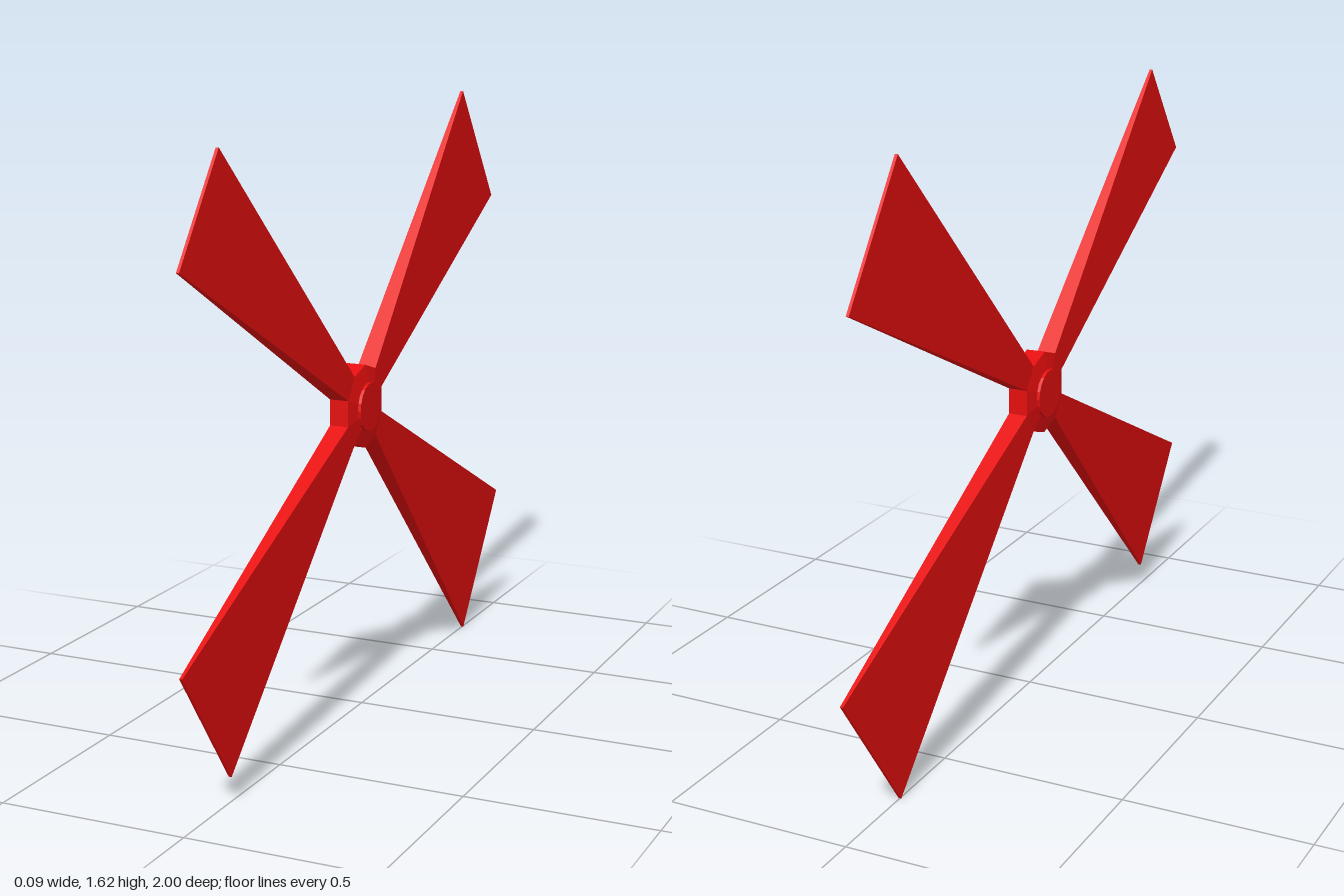
import * as THREE from 'three';

const CENTER = { y: 0.84, z: 0.035 };
const HUB_R = 0.112, ROOT_X = 0.026, TIP_X = 0.004;
const HALF_SIDE = Math.PI / 10; // half of one side of the ten-sided hub

const red = new THREE.MeshStandardMaterial({ color: 0xe60e0e, flatShading: true });

// A tapered blade growing out of one hub side; tip corners are [z, y],
// first on the smaller-angle edge, then on the larger (angles run from +z to +y).
function blade(name, angle, tipLow, tipHigh) {
  const geo = new THREE.BoxGeometry(1, 1, 1);
  const p = geo.attributes.position;
  for (let i = 0; i < p.count; i++) {
    const isTip = p.getY(i) > 0, isLow = p.getZ(i) > 0;
    const a = angle + (isLow ? -HALF_SIDE : HALF_SIDE);
    const [z, y] = isTip
      ? (isLow ? tipLow : tipHigh)
      : [CENTER.z + HUB_R * Math.cos(a), CENTER.y + HUB_R * Math.sin(a)];
    p.setXYZ(i, Math.sign(p.getX(i)) * (isTip ? TIP_X : ROOT_X), y, z);
  }
  geo.computeVertexNormals();
  const mesh = new THREE.Mesh(geo, red);
  mesh.name = name;
  return mesh;
}

export function createModel() {
  const group = new THREE.Group();
  group.name = 'propeller';

  // Ten-sided hub with sloping faces
  const profile = [[0, -0.035], [0.065, -0.035], [HUB_R, -ROOT_X],
    [HUB_R, ROOT_X], [0.065, 0.035], [0, 0.035]].map(([r, h]) => new THREE.Vector2(r, h));
  const hub = new THREE.Mesh(new THREE.LatheGeometry(profile, 10, Math.PI / 2), red);
  hub.name = 'hub';

  // Round cap standing proud on both sides of the hub
  const cap = new THREE.Mesh(new THREE.CylinderGeometry(0.065, 0.065, 0.086, 20), red);
  cap.name = 'hubCap';

  for (const part of [hub, cap]) {
    part.rotation.z = -Math.PI / 2;
    part.position.set(0, CENTER.y, CENTER.z);
    group.add(part);
  }

  // Four blades, each slightly different at the tip
  const a = Math.PI / 5;
  group.add(
    blade('upperFrontBlade', a, [0.98, 1.325], [0.787, 1.585]),
    blade('upperBackBlade', Math.PI - a, [-0.69, 1.618], [-0.925, 1.295]),
    blade('lowerBackBlade', Math.PI + a, [-1, 0.367], [-0.736, 0]),
    blade('lowerFrontBlade', -a, [0.767, 0.065], [1, 0.388]),
  );
  return group;
}
